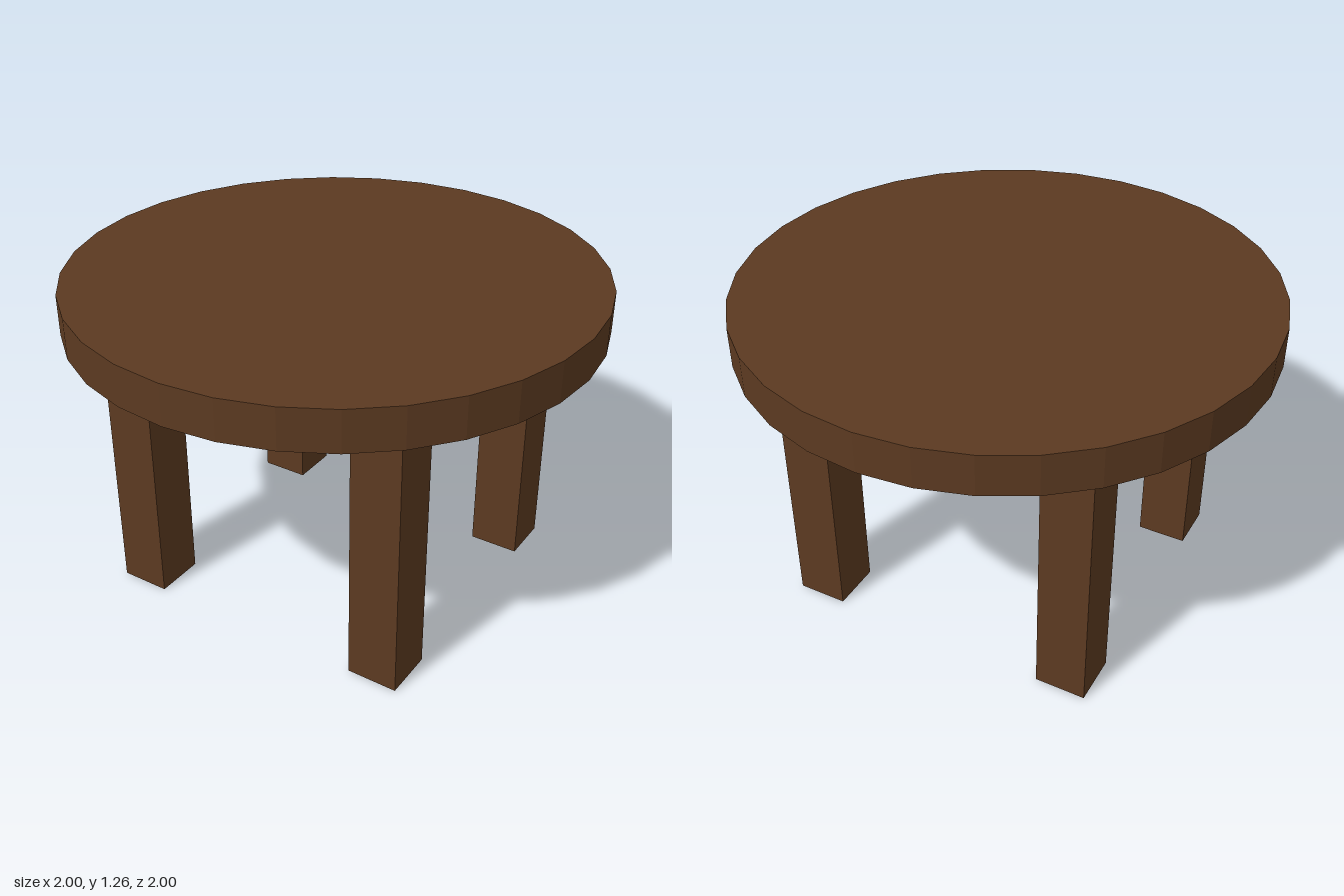
import * as THREE from 'three';

export function createModel() {
  const wood = new THREE.MeshStandardMaterial({ color: 0x5c3a21, flatShading: true });
  wood.name = 'dark brown wood';

  const table = new THREE.Group();
  table.name = 'roundTable';

  const height = 1.26, topThickness = 0.155, legWidth = 0.196;
  const legHeight = height - topThickness;

  // Round faceted top
  const top = new THREE.Mesh(new THREE.CylinderGeometry(1, 1, topThickness, 32), wood);
  top.name = 'tableTop';
  top.position.y = height - topThickness / 2;
  table.add(top);

  // Four square legs
  const legGeometry = new THREE.BoxGeometry(legWidth, legHeight, legWidth);
  for (const [zName, z] of [['front', 0.49], ['back', -0.49]]) {
    for (const [xName, x] of [['Left', 0.531], ['Right', -0.531]]) {
      const leg = new THREE.Mesh(legGeometry, wood);
      leg.name = `${zName}${xName}Leg`;
      leg.position.set(x, legHeight / 2, z);
      table.add(leg);
    }
  }

  return table;
}
